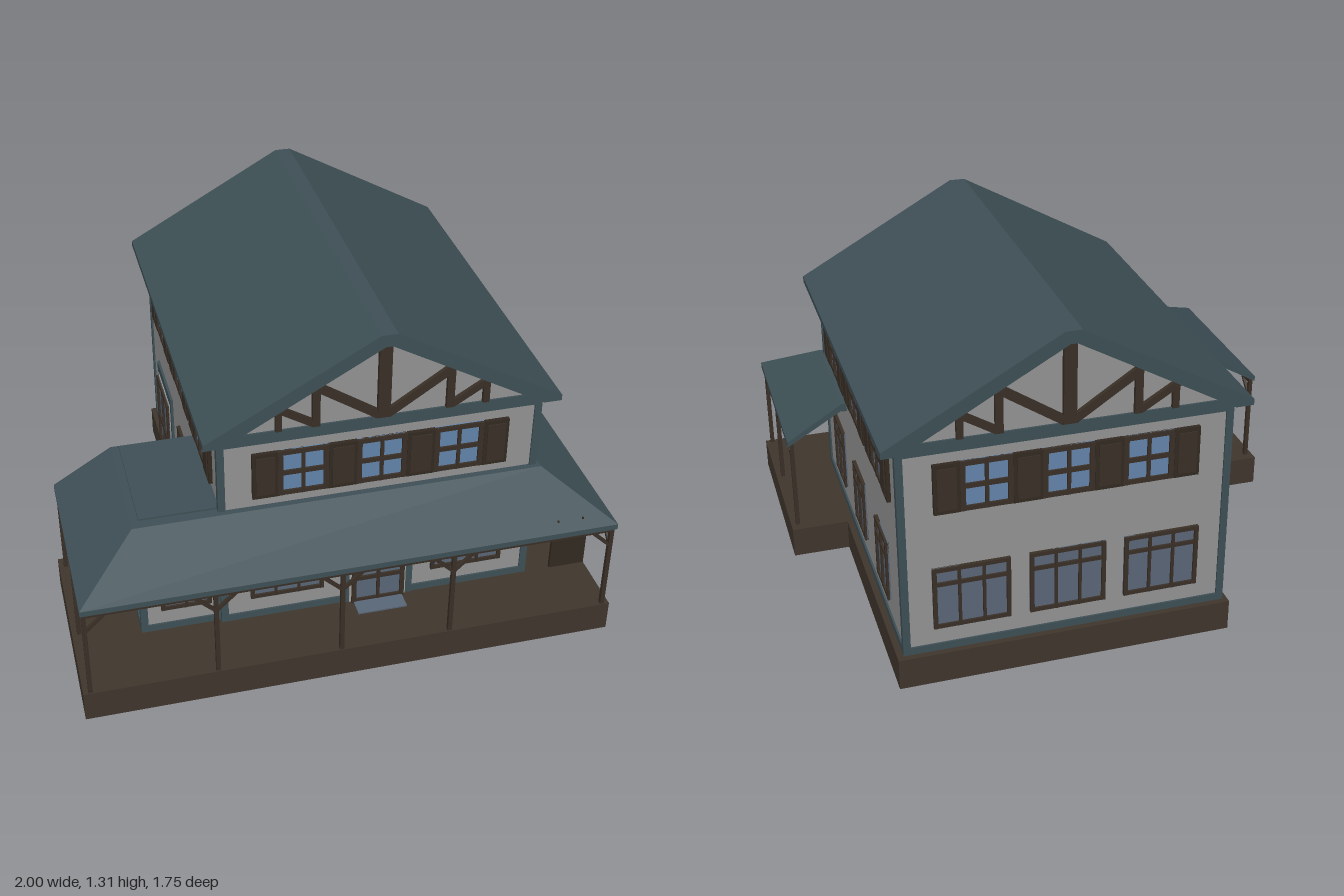
import * as THREE from 'three';

const mat = (name, color, side = THREE.FrontSide) => {
  const m = new THREE.MeshStandardMaterial({ color, side });
  m.name = name;
  return m;
};

export function createModel() {
  const M = {
    wall: mat('grey plaster', 0x949494),
    teal: mat('teal roofing', 0x3e5056),
    deck: mat('deck brown', 0x40362d),
    wood: mat('dark timber', 0x3a3027),
    shutter: mat('shutter brown', 0x332a21),
    sky: mat('upper glass', 0x6485ac),
    glass: mat('lower glass', 0x5a6779),
    pale: mat('pale door frame', 0xa5a19d),
  };
  const house = new THREE.Group();
  house.name = 'house';

  const add = (parent, name, geo, material) => {
    const m = new THREE.Mesh(geo, material);
    m.name = name;
    parent.add(m);
    return m;
  };
  // Box given by its minimum and maximum on each axis
  const box = (parent, name, material, x0, x1, y0, y1, z0, z1) => {
    const m = add(parent, name, new THREE.BoxGeometry(x1 - x0, y1 - y0, z1 - z0), material);
    m.position.set((x0 + x1) / 2, (y0 + y1) / 2, (z0 + z1) / 2);
    return m;
  };
  // Square bar between two points
  const bar = (parent, name, material, a, b, w, d = w) => {
    const p = new THREE.Vector3(...a), q = new THREE.Vector3(...b);
    const m = add(parent, name, new THREE.BoxGeometry(w, p.distanceTo(q), d), material);
    m.position.copy(p).add(q).multiplyScalar(0.5);
    m.quaternion.setFromUnitVectors(new THREE.Vector3(0, 1, 0), q.sub(p).normalize());
    return m;
  };
  // Polygon in x and y pushed along z
  const prism = (name, material, pts, z0, z1) => {
    const shape = new THREE.Shape(pts.map(([x, y]) => new THREE.Vector2(x, y)));
    const geo = new THREE.ExtrudeGeometry(shape, { depth: z1 - z0, bevelEnabled: false });
    add(house, name, geo, material).position.z = z0;
  };

  const X0 = -0.44, X1 = 0.75, Z0 = -0.83, Z1 = 0.61, CX = 0.155, AX = -0.74, AZ0 = 0.14, AZ1 = 0.595;

  // Foundation and porch deck
  box(house, 'foundation', M.deck, X0 - 0.025, X1 + 0.03, 0, 0.12, -0.86, 0.11);
  box(house, 'porchDeck', M.deck, -1, 1, 0, 0.12, 0.1, 0.87);
  box(house, 'doorMat', M.glass, 0.06, 0.25, 0.12, 0.126, 0.62, 0.7);

  // Main walls with gables, and the side annex
  prism('mainWalls', M.wall, [[X0, 0.12], [X1, 0.12], [X1, 0.95], [CX, 1.285], [X0, 0.95]], Z0, Z1);
  box(house, 'annexWalls', M.wall, AX, X0 + 0.01, 0.12, 0.6, AZ0, AZ1);

  // Main roof: one bent slab with a narrow flat ridge
  const half = [[0.655, 0.965], [0.03, 1.312]], under = [[0.012, 1.265], [0.589, 0.942], [0.655, 0.942]];
  const side = (pts, s) => pts.map(([x, y]) => [CX + s * x, y]);
  prism('mainRoof', M.teal, [
    ...side(half, -1), ...side([...half].reverse(), 1),
    ...side([...under].reverse(), 1), ...side(under, -1),
  ], -0.88, 0.66);

  // Baseboards, frieze and corner trim
  const trim = (x0, x1, z0, z1, y0, y1) => {
    const t = 0.007, c = 0.02;
    for (const [a, b] of [[0.12, 0.148], [y0, y1]])
      box(house, 'trimBand', M.teal, x0 - t, x1 + t, a, b, z0 - t, z1 + t);
    for (const x of [x0, x1]) for (const z of [z0, z1]) {
      const sx = x === x0 ? 1 : -1, sz = z === z0 ? 1 : -1;
      const xs = [x - sx * t, x + sx * c].sort((p, q) => p - q);
      const zs = [z - sz * t, z + sz * c].sort((p, q) => p - q);
      box(house, 'cornerTrim', M.teal, ...xs, 0.12, y1, ...zs);
    }
  };
  trim(X0, X1, Z0, Z1, 0.908, 0.955);
  trim(AX, X0, AZ0, AZ1, 0.58, 0.61);

  // Wall faces: local x runs along the wall, local z points outward
  const face = (name, x, z, turn) => {
    const g = new THREE.Group();
    g.name = name;
    g.position.set(x, 0, z);
    g.rotation.y = turn;
    house.add(g);
    return g;
  };
  const front = face('frontWallDetails', 0, Z1, 0);
  const back = face('backWallDetails', 0, Z0, Math.PI);
  const left = face('leftWallDetails', X1, 0, Math.PI / 2);
  const right = face('rightWallDetails', X0, 0, -Math.PI / 2);
  const annexFront = face('annexFrontDetails', 0, AZ1, 0);
  const annexSide = face('annexSideDetails', AX, 0, -Math.PI / 2);

  // Glazing with a frame, evenly spaced uprights and cross bars at given heights
  const glazing = (g, name, pane, u, y0, y1, w, cols, bars, f = 0.016) => {
    const a = u - w / 2, b = u + w / 2, d = 0.014;
    box(g, name + 'Glass', pane, a, b, y0, y1, -0.002, 0.005);
    for (let i = 0; i <= cols; i++) {
      const c = a + f / 2 + (w - f) * i / cols, r = i % cols ? f * 0.35 : f / 2;
      box(g, name + 'Upright', M.wood, c - r, c + r, y0, y1, 0, d);
    }
    for (const y of [y0 + f / 2, y1 - f / 2, ...bars])
      box(g, name + 'Rail', M.wood, a, b, y - f / 2, y + f / 2, 0, d - 0.001);
  };
  const lowWindow = (g, u, w, cols) => glazing(g, 'lowerWindow', M.glass, u, 0.215, 0.46, w, cols, [0.395], 0.015);
  const shutter = (g, a, b) => {
    box(g, 'shutterFrame', M.shutter, a, b, 0.677, 0.868, 0, 0.015);
    box(g, 'shutterPanel', M.wood, a + 0.013, b - 0.013, 0.693, 0.852, 0, 0.019);
  };
  const upWindow = (g, u, w = 0.19) => glazing(g, 'upperWindow', M.sky, u, 0.677, 0.868, w, 2, [0.772], 0.018);
  const door = (g, u, w, h) => {
    box(g, 'doorSurround', M.teal, u - w / 2 - 0.035, u + w / 2 + 0.035, 0.12, h + 0.05, 0, 0.01);
    box(g, 'doorCasing', M.pale, u - w / 2 - 0.008, u + w / 2 + 0.008, 0.12, h + 0.008, 0, 0.013);
    const leaf = new THREE.Group();
    leaf.name = 'door';
    leaf.position.z = 0.01;
    g.add(leaf);
    glazing(leaf, 'door', M.glass, u, 0.12, h, w, 2, [0.235], 0.017);
  };

  // Front and back: linked upper windows, shutters and gable timbers
  for (const [g, s] of [[front, 1], [back, -1]]) {
    const c = s * CX;
    for (const k of [-1, 0, 1]) upWindow(g, c + k * 0.29, 0.185);
    for (const k of [-1, 1]) {
      shutter(g, c + k * 0.145 - 0.052, c + k * 0.145 + 0.052);
      shutter(g, c + k * 0.43 - 0.047, c + k * 0.43 + 0.047);
      const beam = (x0, y0, x1, y1, w) =>
        bar(g, 'gableTimber', M.wood, [c + k * x0, y0, 0.004], [c + k * x1, y1, 0.004], w, 0.024);
      beam(0.015, 0.965, 0.25, 1.12, 0.032);
      beam(0.245, 0.955, 0.245, 1.14, 0.028);
      beam(0.25, 0.965, 0.39, 1.05, 0.026);
      beam(0.38, 0.955, 0.38, 1.065, 0.024);
    }
    bar(g, 'kingPost', M.wood, [c, 0.955, 0.006], [c, 1.275, 0.006], 0.046, 0.026);
  }
  for (const u of [-0.195, 0.505]) lowWindow(front, u, 0.28, 3);
  for (const u of [-0.505, -0.155, 0.195]) lowWindow(back, u, 0.28, 3);
  door(front, CX, 0.205, 0.41);
  lowWindow(annexFront, -0.575, 0.19, 2);
  lowWindow(annexSide, 0.305, 0.19, 2);

  // Side walls: three shuttered upper windows each
  for (const z of [0.305, -0.11, -0.525])
    for (const [g, s] of [[left, -1], [right, 1]]) {
      upWindow(g, s * z);
      for (const k of [-1, 1]) shutter(g, s * z + k * 0.143 - 0.046, s * z + k * 0.143 + 0.046);
    }
  for (const z of [0.305, -0.11, -0.525]) lowWindow(left, -z, 0.195, 2);
  lowWindow(right, -0.11, 0.195, 2);
  door(right, -0.525, 0.25, 0.43);

  // Hipped porch roof: a slab section swept round three sides
  const outer = [[-0.985, 0.125], [-0.985, 0.87], [0.99, 0.87], [0.99, 0.125]];
  const inner = [[-0.76, 0.125], [-0.76, 0.635], [0.77, 0.635], [0.77, 0.125]];
  const ring = outer.map(([x, z], i) => {
    const [u, w] = inner[i];
    return [[x, 0.502, z], [u, 0.638, w], [u, 0.61, w], [x, 0.48, z]];
  });
  const pos = [];
  const quad = (a, b, c, d) => pos.push(...a, ...b, ...c, ...a, ...c, ...d);
  for (let i = 0; i < 3; i++) for (let k = 0; k < 4; k++) {
    const n = (k + 1) % 4;
    quad(ring[i][k], ring[i + 1][k], ring[i + 1][n], ring[i][n]);
  }
  quad(...ring[0]);
  quad(...[...ring[3]].reverse());
  const roofGeo = new THREE.BufferGeometry();
  roofGeo.setAttribute('position', new THREE.Float32BufferAttribute(pos, 3));
  roofGeo.computeVertexNormals();
  add(house, 'porchRoof', roofGeo, M.teal);
  box(house, 'porchRoofTopFront', M.teal, -0.76, 0.77, 0.605, 0.638, 0.59, 0.635);
  box(house, 'porchRoofTopSide', M.teal, 0.74, 0.77, 0.605, 0.638, 0.125, 0.6);
  box(house, 'annexRoofTop', M.teal, -0.76, X0 + 0.01, 0.59, 0.638, 0.125, 0.6);
  box(house, 'annexRoofCap', M.teal, -0.73, X0 + 0.01, 0.63, 0.645, 0.135, 0.595);

  // Porch beams, posts and knee braces
  const PX = 0.973, PZ = 0.858;
  box(house, 'frontBeam', M.wood, -PX, PX, 0.468, 0.486, PZ - 0.008, PZ + 0.008);
  for (const s of [-1, 1]) box(house, 'sideBeam', M.wood, s * PX - 0.008, s * PX + 0.008, 0.468, 0.486, 0.135, PZ);
  const post = (x, z, braces) => {
    box(house, 'porchPost', M.wood, x - 0.008, x + 0.008, 0.12, 0.48, z - 0.008, z + 0.008);
    for (const [dx, dz] of braces)
      bar(house, 'kneeBrace', M.wood, [x, 0.4, z], [x + dx * 0.075, 0.472, z + dz * 0.075], 0.012);
  };
  for (const x of [-0.51, -0.05, 0.365]) post(x, PZ, [[-1, 0], [1, 0]]);
  for (const s of [-1, 1]) {
    post(s * PX, PZ, [[-s, 0], [0, -1]]);
    post(s * PX, 0.545, [[0, 1], [0, -1]]);
    post(s * PX, 0.145, [[0, 1]]);
  }

  // Blank board hung from the porch beam
  box(house, 'hangingBoard', M.shutter, 0.75, 0.885, 0.32, 0.455, 0.825, 0.837);
  for (const x of [0.77, 0.865]) box(house, 'boardHanger', M.shutter, x - 0.003, x + 0.003, 0.45, 0.53, 0.828, 0.834);

  return house;
}
